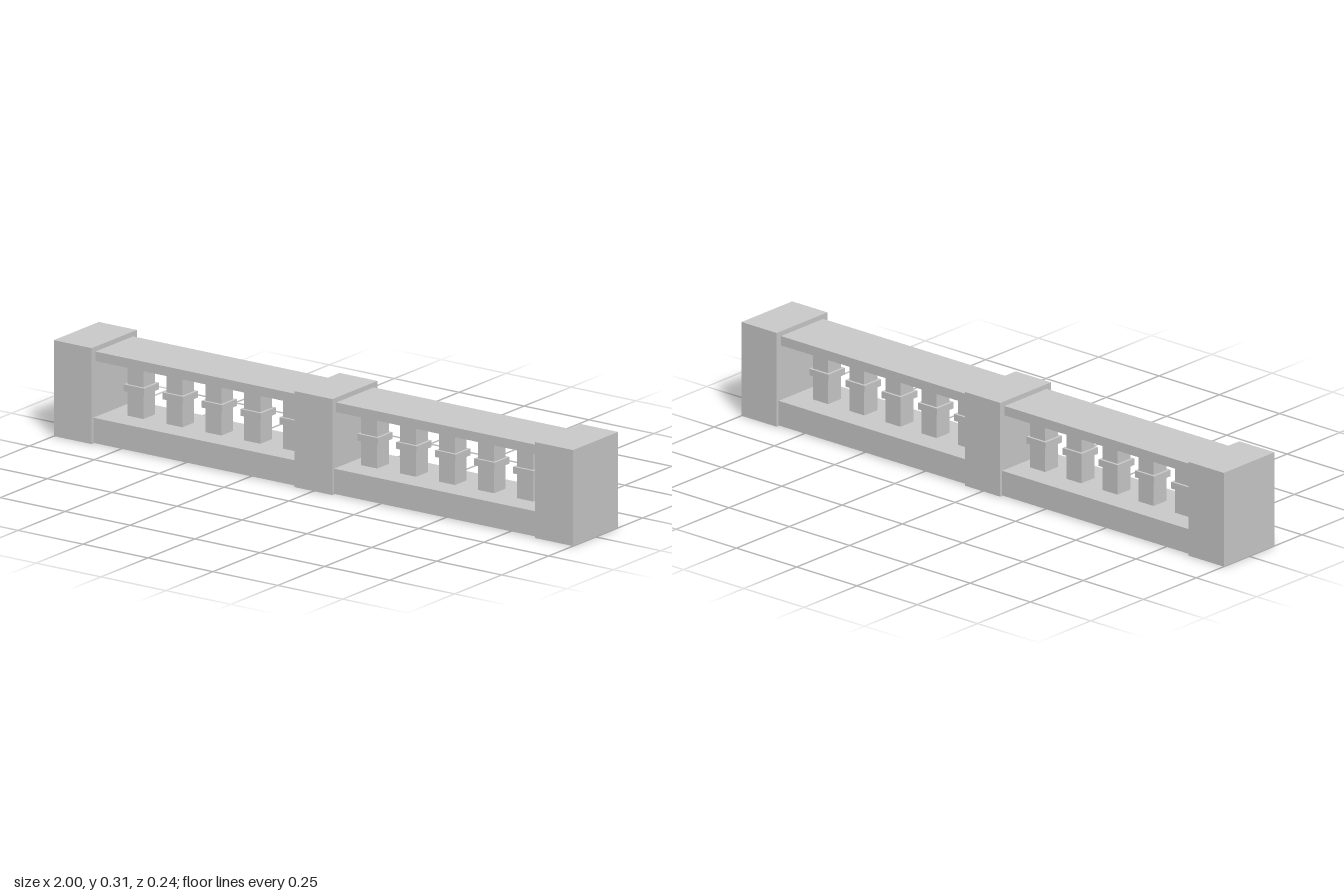
import * as THREE from 'three';

const material = new THREE.MeshStandardMaterial({ color: 0xcccccc, flatShading: true });

// Box given by centre x, bottom and top heights, width and depth
function addBlock(parent, name, x, bottom, top, width, depth) {
  const mesh = new THREE.Mesh(new THREE.BoxGeometry(width, top - bottom, depth), material);
  mesh.name = name;
  mesh.position.set(x, (bottom + top) / 2, 0);
  parent.add(mesh);
}

export function createModel() {
  const model = new THREE.Group();
  model.name = 'balustrade';

  const baseTop = 0.084;
  const railBottom = 0.266;

  // Plinth between the posts
  addBlock(model, 'base', 0, 0.002, baseTop, 1.98, 0.222);

  // Square posts in the middle and at both ends
  for (const x of [-0.927, 0, 0.927]) {
    addBlock(model, 'post', x, 0, 0.313, 0.146, 0.24);
  }

  for (const side of [-1, 1]) {
    // Handrail of one bay
    addBlock(model, 'handrail', side * 0.463, railBottom, 0.297, 0.8, 0.2);

    // Balusters with a collar around the middle
    for (let i = 1; i <= 5; i++) {
      const baluster = new THREE.Group();
      baluster.name = 'baluster';
      baluster.position.x = side * i * 0.15;
      addBlock(baluster, 'shaft', 0, baseTop, railBottom, 0.062, 0.062);
      addBlock(baluster, 'collar', 0, 0.165, 0.187, 0.079, 0.079);
      model.add(baluster);
    }
  }
  return model;
}
